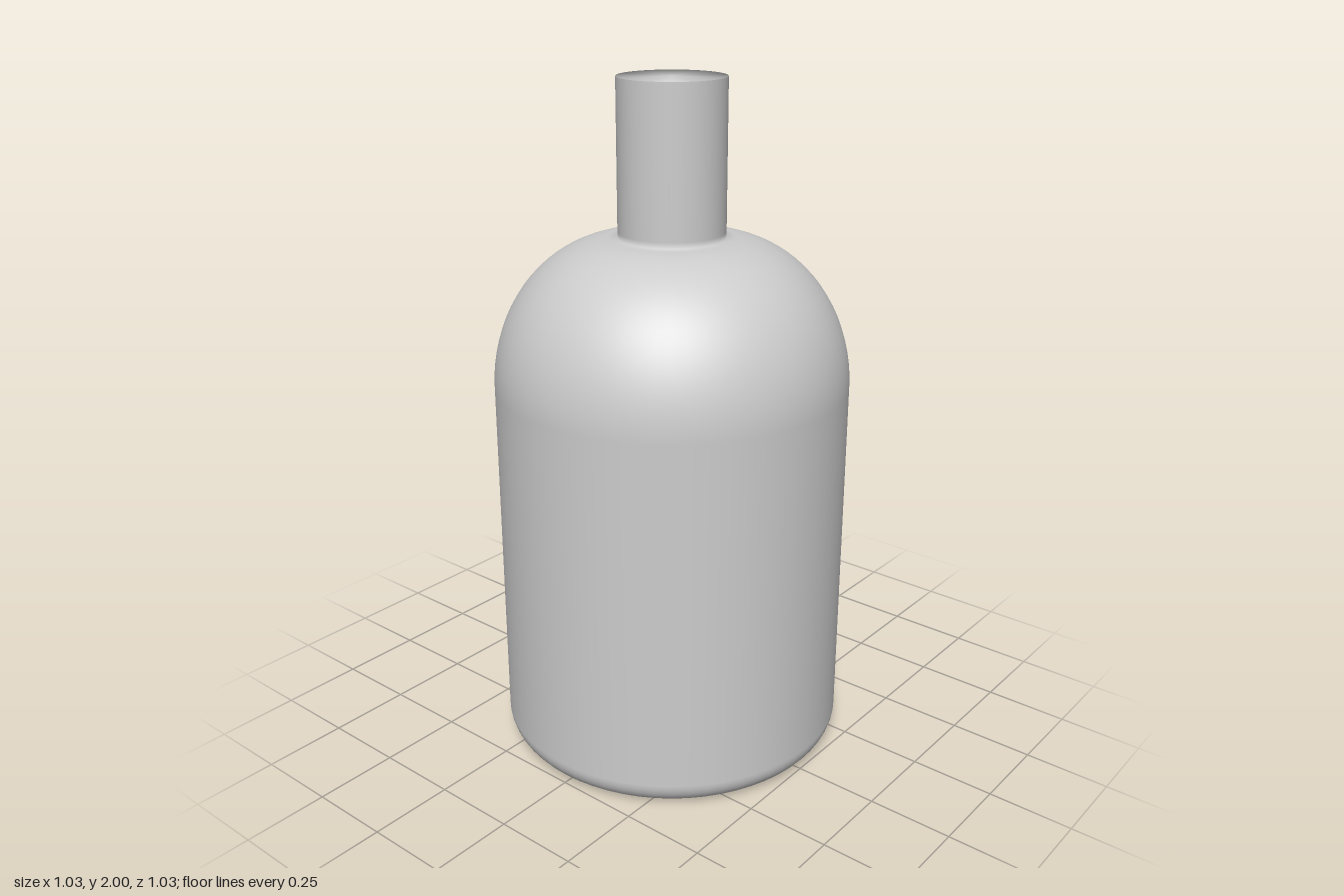
import * as THREE from 'three';

const SIDES = 64;
const BODY_R = 0.517;
const NECK_R = 0.154;

// Points along a quarter ellipse, from angle a0 to a1
function arc(cx, cy, rx, ry, a0, a1, steps) {
  const points = [];
  for (let i = 0; i <= steps; i++) {
    const a = a0 + ((a1 - a0) * i) / steps;
    points.push(new THREE.Vector2(cx + rx * Math.cos(a), cy + ry * Math.sin(a)));
  }
  return points;
}

export function createModel() {
  const group = new THREE.Group();
  group.name = 'bottle';
  const grey = new THREE.MeshStandardMaterial({ color: 0xcccccc });
  grey.name = 'plain grey';

  // Base, straight wall, domed shoulder and neck as one smooth profile
  const bevel = 0.08;
  const profile = [
    new THREE.Vector2(0, 0),
    ...arc(BODY_R - bevel, bevel, bevel, bevel, -Math.PI / 2, 0, 8),
    ...arc(NECK_R, 1.13, BODY_R - NECK_R, 0.428, 0, Math.PI / 2, 20),
    new THREE.Vector2(NECK_R, 1.575),
    new THREE.Vector2(NECK_R, 2),
  ];
  const body = new THREE.Mesh(new THREE.LatheGeometry(profile, SIDES), grey);
  body.name = 'body';
  group.add(body);

  // Flat cap whose normals blend softly into the neck wall
  const capGeometry = new THREE.CircleGeometry(NECK_R, SIDES).rotateX(-Math.PI / 2);
  const position = capGeometry.attributes.position;
  const normal = new THREE.Vector3();
  for (let i = 0; i < position.count; i++) {
    normal.set(position.getX(i) / NECK_R, 0.25, position.getZ(i) / NECK_R).normalize();
    capGeometry.attributes.normal.setXYZ(i, normal.x, normal.y, normal.z);
  }
  const cap = new THREE.Mesh(capGeometry, grey);
  cap.name = 'neckCap';
  cap.position.y = 2;
  group.add(cap);

  return group;
}
